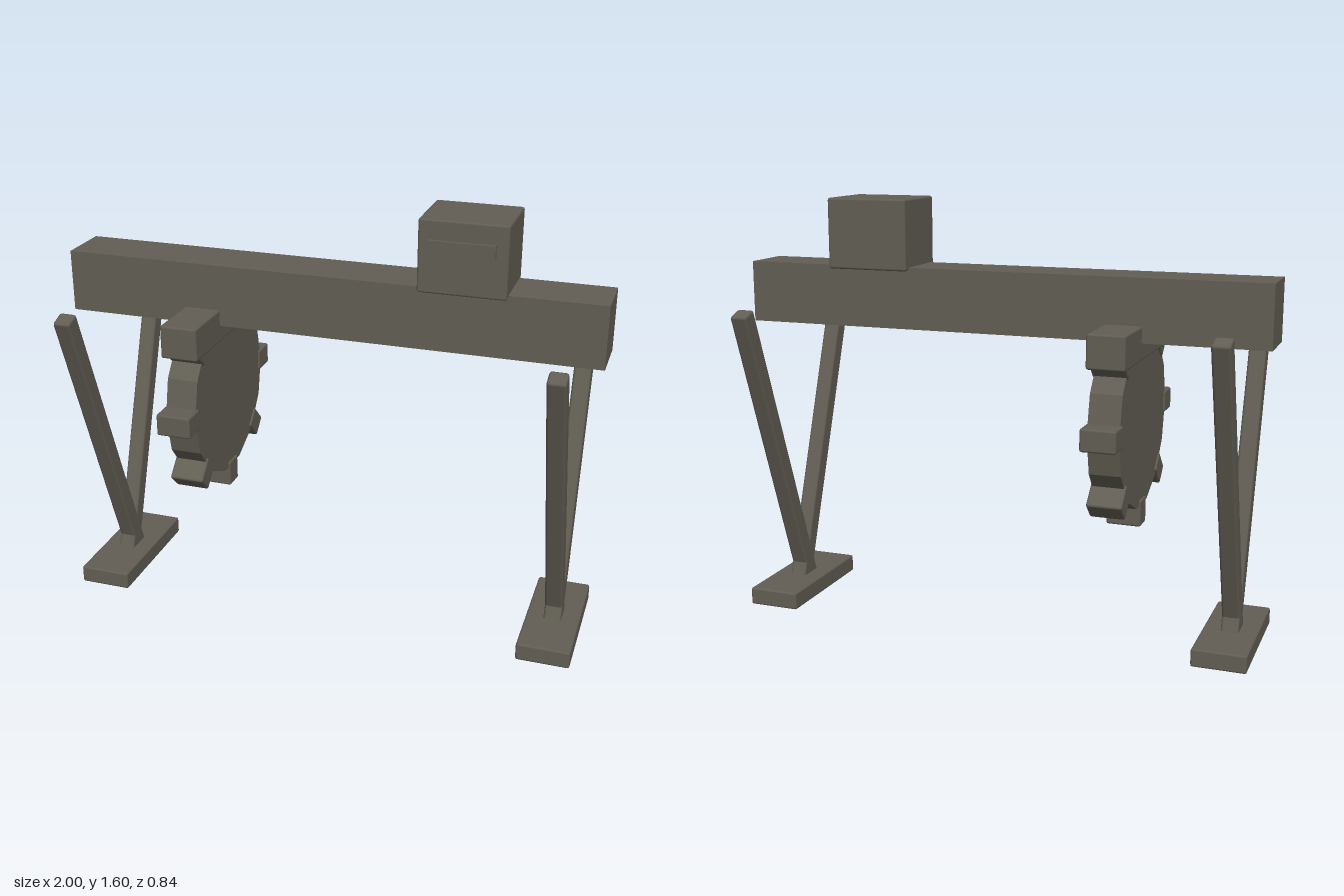
import * as THREE from 'three';
import { RoundedBoxGeometry } from 'three/addons/geometries/RoundedBoxGeometry.js';

export function createModel() {
  const model = new THREE.Group();
  const metal = new THREE.MeshStandardMaterial({ color: 0x625e54 });
  metal.name = 'dull grey metal';

  const add = (name, geometry, x, y, z, parent = model) => {
    const mesh = new THREE.Mesh(geometry, metal);
    mesh.name = name;
    mesh.position.set(x, y, z);
    parent.add(mesh);
    return mesh;
  };
  const bevelled = (w, h, d, r = 0.008) => new RoundedBoxGeometry(w, h, d, 1, r);

  // Main beam with the control box and its raised front plate
  add('beam', new THREE.BoxGeometry(2, 0.23, 0.204), 0, 1.237, 0);
  add('controlBox', bevelled(0.315, 0.262, 0.26), 0.5, 1.471, 0);
  add('controlPlate', new THREE.BoxGeometry(0.235, 0.05, 0.02), 0.497, 1.507, 0.133);

  // V-shaped leg pairs, each on a flat foot
  const tilt = THREE.MathUtils.degToRad(20);
  const legLength = 1.22;
  for (const side of [-1, 1]) {
    const stand = new THREE.Group();
    stand.name = side > 0 ? 'leftStand' : 'rightStand';
    stand.position.x = side * 0.883;
    model.add(stand);
    add('foot', bevelled(0.2, 0.068, 0.5), 0, 0.04, 0, stand);
    for (const end of [-1, 1]) {
      const y = 1.195 - (legLength / 2) * Math.cos(tilt);
      const z = end * (0.39 - (legLength / 2) * Math.sin(tilt));
      const leg = add(end > 0 ? 'frontLeg' : 'backLeg', bevelled(0.066, legLength, 0.066, 0.01), 0, y, z, stand);
      leg.rotation.x = end * tilt;
    }
  }

  // Toothed wheel hanging below the beam
  const wheel = new THREE.Group();
  wheel.name = 'toothedWheel';
  wheel.position.set(-0.475, 0.83, 0);
  model.add(wheel);
  const disc = new THREE.CylinderGeometry(0.33, 0.33, 0.116, 14).rotateZ(Math.PI / 2).toNonIndexed();
  disc.computeVertexNormals();
  add('wheelDisc', disc, 0, 0, 0, wheel);
  for (let i = 0; i < 8; i++) {
    const a = (i * Math.PI) / 4;
    const tooth = add('tooth', bevelled(0.13, 0.082, 0.1), 0, Math.sin(a) * 0.35, Math.cos(a) * 0.35, wheel);
    tooth.rotation.x = -a;
  }

  // Cross bar over the wheel
  add('wheelBar', bevelled(0.14, 0.124, 0.64), -0.475, 1.12, 0);

  return model;
}
